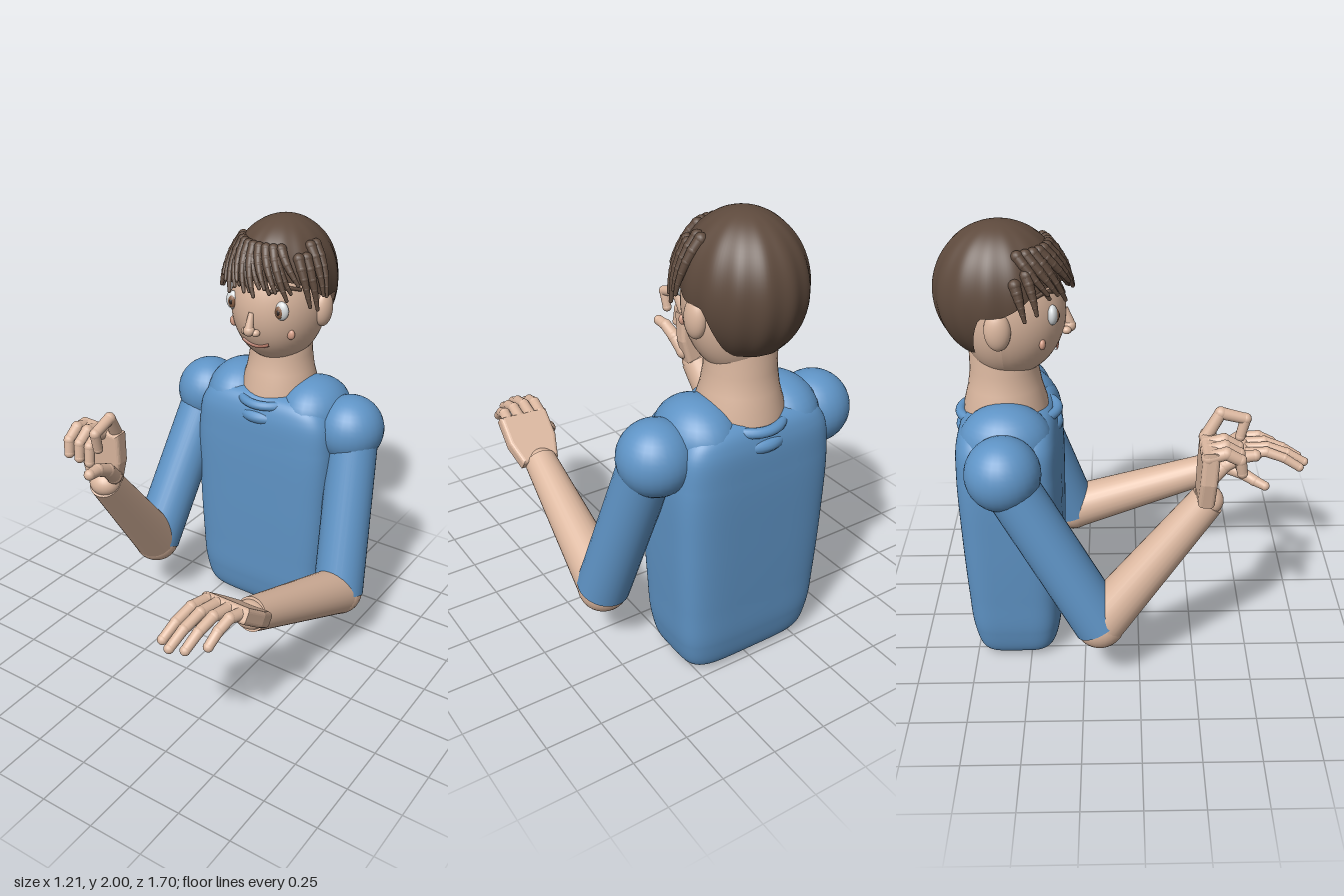
import * as THREE from 'three';
import { ParametricGeometry } from 'three/addons/geometries/ParametricGeometry.js';

const mat = (color, side = THREE.FrontSide) => new THREE.MeshStandardMaterial({ color, side });
const skin = mat(0xdcb8a0), cloth = mat(0x5f94c6), hairMat = mat(0x5e4a3d, THREE.DoubleSide);
const white = mat(0xd8dcde), iris = mat(0x8a6248), dark = mat(0x2a2220);
const lip = mat(0xa8705f), blush = mat(0xd59f88);
const V = (x, y, z) => new THREE.Vector3(x, y, z);
const CX = -0.02; // body midline

export function createModel() {
  const model = new THREE.Group();

  function add(name, geo, material, parent = model) {
    const m = new THREE.Mesh(geo, material);
    m.name = name;
    parent.add(m);
    return m;
  }
  function group(name) {
    const g = new THREE.Group();
    g.name = name;
    model.add(g);
    return g;
  }
  function ball(name, p, rx, ry, rz, material, parent) {
    const m = add(name, new THREE.SphereGeometry(1, 28, 20), material, parent);
    m.position.copy(p);
    m.scale.set(rx, ry, rz);
    return m;
  }
  // tapered cylinder from a to b
  function limb(name, a, b, ra, rb, material, parent) {
    const d = b.clone().sub(a);
    const m = add(name, new THREE.CylinderGeometry(rb, ra, d.length(), 28), material, parent);
    m.position.copy(a).addScaledVector(d, 0.5);
    m.quaternion.setFromUnitVectors(V(0, 1, 0), d.normalize());
    return m;
  }
  // jointed chain of tapering segments with round joints
  function chain(name, pts, r0, r1, material, parent) {
    const g = new THREE.Group();
    g.name = name;
    parent.add(g);
    const r = i => r0 + (r1 - r0) * i / (pts.length - 1);
    pts.forEach((p, i) => {
      add(name + 'Joint', new THREE.SphereGeometry(r(i) * 1.06, 14, 10), material, g).position.copy(p);
      if (i) limb(name + 'Segment', pts[i - 1], p, r(i - 1), r(i), material, g);
    });
  }

  // torso: rounded-box cross-sections, (half width, height, half depth)
  const profile = new THREE.CatmullRomCurve3([
    V(0.01, 0.005, 0.01), V(0.24, 0.01, 0.12), V(0.3, 0.04, 0.175), V(0.335, 0.16, 0.205), V(0.35, 0.34, 0.215),
    V(0.365, 0.65, 0.224), V(0.368, 0.95, 0.226), V(0.345, 1.1, 0.215), V(0.28, 1.17, 0.18), V(0.01, 1.2, 0.01),
  ]);
  const sq = t => Math.sign(t) * Math.pow(Math.abs(t), 0.42);
  add('torso', new ParametricGeometry((u, v, t) => {
    const a = u * Math.PI * 2, p = profile.getPoint(v);
    t.set(CX + p.x * sq(Math.sin(a)), p.y, -0.565 + p.z * sq(Math.cos(a)));
  }, 80, 60), cloth);
  for (const s of [-1, 1]) ball('shoulderYoke', V(CX + s * 0.2, 1.1, -0.565), 0.165, 0.16, 0.2, cloth);

  // neck and collar
  const neck = add('neck', new THREE.LatheGeometry([[0.19, 1.08], [0.182, 1.2], [0.16, 1.28], [0.148, 1.36], [0.145, 1.5]]
    .map(p => new THREE.Vector2(...p)), 40), skin);
  neck.position.set(CX, 0, -0.575);
  [[1.15, 0.165, 0.212, 0.022], [1.085, 0.16, 0.205, 0.03]].forEach(([y, rx, rz, tube]) => {
    const ring = add('collar', new THREE.TorusGeometry(0.2, tube, 14, 56), cloth);
    ring.rotation.x = Math.PI / 2;
    ring.scale.set(rx / 0.2, rz / 0.2, 1);
    ring.position.set(CX, y, -0.565);
  });

  // head, deeper towards the face than the nape
  const headGeo = new THREE.SphereGeometry(1, 48, 36);
  const hp = headGeo.attributes.position;
  for (let i = 0; i < hp.count; i++) {
    const z = hp.getZ(i);
    hp.setXYZ(i, hp.getX(i) * 0.218, hp.getY(i) * 0.295, z * (z > 0 ? 0.26 : 0.19));
  }
  headGeo.computeVertexNormals();
  add('head', headGeo, skin).position.set(CX, 1.62, -0.56);
  const faceZ = (x, y) => -0.56 + 0.26 * Math.sqrt(Math.max(0, 1 - ((x - CX) / 0.218) ** 2 - ((y - 1.62) / 0.295) ** 2));
  const onFace = (x, y, out = 0) => V(x, y, faceZ(x, y) + out);

  for (const s of [-1, 1]) {
    const side = s < 0 ? 'right' : 'left';
    ball(side + 'Ear', V(CX + s * 0.215, 1.605, -0.57), 0.04, 0.085, 0.055, skin);
    const ex = CX + s * 0.128, eye = onFace(ex, 1.64);
    ball(side + 'Eye', eye, 0.034, 0.043, 0.022, white);
    ball(side + 'Iris', eye.clone().add(V(-s * 0.004, -0.003, 0.013)), 0.02, 0.03, 0.014, iris);
    ball(side + 'Pupil', eye.clone().add(V(-s * 0.004, -0.003, 0.022)), 0.009, 0.014, 0.008, dark);
    ball(side + 'Cheek', onFace(CX + s * 0.152, 1.52), 0.02, 0.024, 0.014, blush);
    chain(side + 'Brow', [-0.045, -0.015, 0.015, 0.045].map((d, i) =>
      onFace(ex + d, 1.725 + (i % 3 ? 0.012 : 0), 0.004)), 0.009, 0.008, hairMat, model);
    ball(side + 'Nostril', V(CX + s * 0.027, 1.53, -0.3), 0.019, 0.017, 0.02, skin);
  }
  limb('noseBridge', onFace(CX, 1.62, -0.005), V(CX, 1.55, -0.285), 0.012, 0.02, skin);
  ball('noseTip', V(CX, 1.54, -0.287), 0.026, 0.026, 0.026, skin);
  const smile = [-0.07, -0.045, -0.015, 0.015, 0.045, 0.07].map(d => onFace(CX + d, 1.448 + d * d * 4, 0.003));
  add('mouth', new THREE.TubeGeometry(new THREE.CatmullRomCurve3(smile), 30, 0.008, 8), lip);

  // hair cap: ellipsoid with a rim high in front and low at the nape, softly grooved
  const hair = group('hair');
  const smooth = THREE.MathUtils.smoothstep;
  add('hairCap', new ParametricGeometry((u, v, t) => {
    const a = u * Math.PI * 2, c = Math.cos(a);
    const rim = 1.67 + 0.1 * smooth(c, 0, 0.8) - 0.2 * smooth(-c, 0.2, 0.6);
    const th = (1 - v) * Math.acos((rim - 1.7) / 0.3) + 0.002;
    const k = Math.sin(th) * (1 + 0.012 * Math.sin(a * 14) * Math.sin(th));
    t.set(CX + 0.243 * k * Math.sin(a), 1.7 + 0.3 * Math.cos(th), -0.57 + 0.278 * k * Math.cos(a));
  }, 112, 32), hairMat, hair);

  // locks lie on the cap from (angle, height) to (angle, height)
  function lock(a0, y0, a1, y1, lift, r = 0.024) {
    const pts = [];
    for (let i = 0; i <= 5; i++) {
      const f = i / 5, a = THREE.MathUtils.degToRad(a0 + (a1 - a0) * f), y = y0 + (y1 - y0) * f;
      const k = Math.sqrt(Math.max(0, 1 - (Math.max(0, y - 1.7) / 0.3) ** 2)) + lift * f;
      pts.push(V(CX + 0.24 * k * Math.sin(a), y, -0.57 + 0.275 * k * Math.cos(a)));
    }
    chain('lock', pts, r, 0.008, hairMat, hair);
  }
  for (let i = 0; i < 10; i++) {
    const a = -52 + i * 10.5;
    lock(a - 12, 1.9, a + 6, 1.75 - 0.025 * (i % 3) + 0.012 * (i % 2), 0.1);
    if (i < 9) lock(a - 6, 1.86, a + 10, 1.725 + 0.02 * (i % 2), 0.04, 0.02);
  }
  [[-72, 1.8, -68, 1.66], [-60, 1.83, -58, 1.68], [52, 1.86, 60, 1.66], [62, 1.86, 68, 1.64],
    [72, 1.9, 74, 1.7], [82, 1.9, 78, 1.69]].forEach(l => lock(...l, 0.12, 0.025));

  // arms: shoulder cap, sleeve, bare forearm
  function arm(side, shoulder, top, elbow, wrist) {
    const g = group(side + 'Arm');
    ball('shoulder', shoulder, 0.16, 0.16, 0.16, cloth, g);
    limb('sleeve', top, elbow, 0.115, 0.118, cloth, g);
    ball('elbow', elbow, 0.114, 0.114, 0.114, skin, g);
    limb('forearm', elbow, wrist, 0.112, 0.076, skin, g);
    ball('wrist', wrist, 0.074, 0.062, 0.068, skin, g);
    return g;
  }
  // palm: bevelled trapezoid laid from wrist to knuckles
  function palm(parent, centre, tilt, yaw, width, length) {
    const w = width / 2 - 0.015, l = length / 2 - 0.015, n = w * 0.74;
    const s = new THREE.Shape([[-n, -l], [n, -l], [w, -l * 0.1], [w, l], [-w, l], [-w, -l * 0.1]]
      .map(p => new THREE.Vector2(...p)));
    const geo = new THREE.ExtrudeGeometry(s, {
      depth: 0.035, bevelEnabled: true, bevelSize: 0.018, bevelThickness: 0.018, bevelSegments: 4,
    }).translate(0, 0, -0.0175);
    const m = add('palm', geo, skin, parent);
    m.position.copy(centre);
    m.rotation.set(tilt, 0, yaw);
  }

  // left arm reaches forward, hand flat
  const left = arm('left', V(0.37, 1.05, -0.565), V(0.4, 1.02, -0.55), V(0.485, 0.315, -0.325), V(0.425, 0.57, 0.36));
  palm(left, V(0.425, 0.645, 0.455), 0.93, 0.06, 0.23, 0.25);
  [[0.325, 0.285, 0.795], [0.375, 0.34, 0.825], [0.432, 0.4, 0.8], [0.492, 0.462, 0.73]].forEach(([x0, x1, z1]) => {
    const at = (f, y) => V(x0 + (x1 - x0) * f, y, 0.545 + (z1 - 0.545) * f);
    chain('finger', [at(0, 0.715), at(0.35, 0.728), at(0.7, 0.7), at(1, 0.655)], 0.027, 0.021, skin, left);
  });
  chain('thumb', [V(0.35, 0.625, 0.44), V(0.3, 0.615, 0.52), V(0.262, 0.595, 0.575), V(0.238, 0.578, 0.625)], 0.034, 0.022, skin, left);

  // right arm raised, index and thumb forming a ring
  const right = arm('right', V(-0.42, 1.05, -0.565), V(-0.43, 1.02, -0.55), V(-0.49, 0.335, -0.175), V(-0.412, 0.91, 0.285));
  palm(right, V(-0.42, 1.06, 0.28), 0.06, -0.03, 0.225, 0.26);
  [-0.505, -0.447, -0.39].forEach((x, i) => chain('finger',
    [V(x, 1.165, 0.275), V(x, 1.185, 0.345), V(x + 0.004, 1.15, 0.405), V(x + 0.008, 1.09 - i * 0.006, 0.415)],
    0.029, 0.022, skin, right));
  chain('indexFinger', [V(-0.338, 1.17, 0.275), V(-0.325, 1.275, 0.335), V(-0.32, 1.245, 0.44), V(-0.325, 1.165, 0.42)], 0.028, 0.021, skin, right);
  chain('thumb', [V(-0.345, 0.97, 0.3), V(-0.33, 1.03, 0.36), V(-0.325, 1.065, 0.43), V(-0.322, 1.07, 0.488)], 0.035, 0.024, skin, right);

  return model;
}
